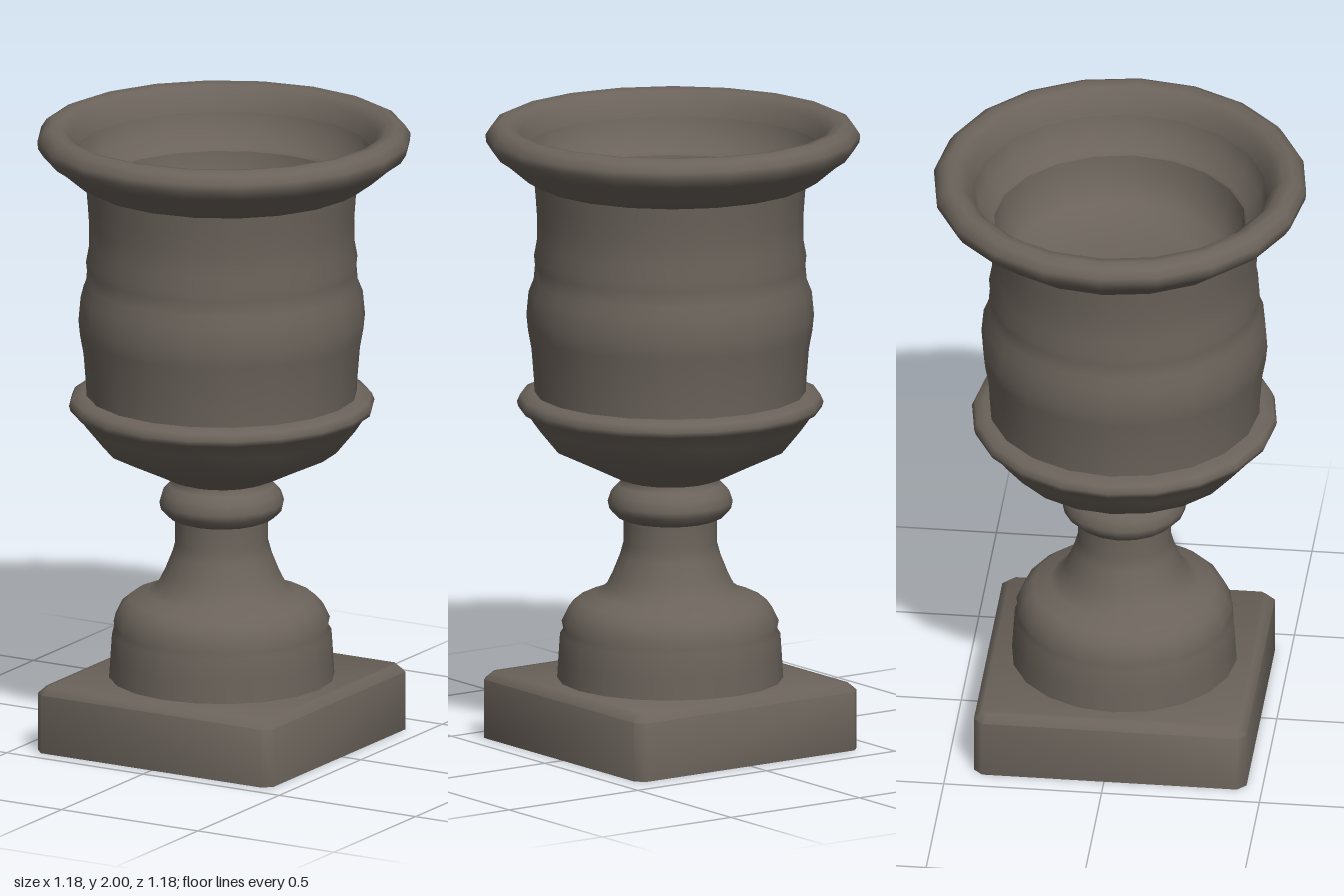
import * as THREE from 'three';
import { toCreasedNormals } from 'three/addons/utils/BufferGeometryUtils.js';
import { ConvexGeometry } from 'three/addons/geometries/ConvexGeometry.js';

const SEGMENTS = 20;
const BODY_Z = 0.017; // foot and body sit slightly forward of the rim

export function createModel() {
  const urn = new THREE.Group();
  urn.name = 'gardenUrn';
  const stone = new THREE.MeshStandardMaterial({ color: 0x6b635b });
  stone.name = 'weathered stone';

  function add(name, geometry, z) {
    const mesh = new THREE.Mesh(geometry, stone);
    mesh.name = name;
    mesh.position.z = z;
    urn.add(mesh);
  }

  // Turned part from [radius, height] pairs
  function turned(name, profile, z = BODY_Z) {
    const points = profile.map(([r, y]) => new THREE.Vector2(r, y));
    add(name, new THREE.LatheGeometry(points, SEGMENTS), z);
  }

  // Square plinth with chamfered corners and a bevelled top edge
  const corners = [];
  const half = 0.432, chamfer = 0.028;
  for (const [inset, y] of [[0, 0], [0, 0.188], [0.024, 0.212]]) {
    const a = half - inset, b = half - chamfer - inset * 0.6;
    for (const sx of [-1, 1]) for (const sz of [-1, 1]) {
      corners.push(new THREE.Vector3(sx * a, y, sz * b), new THREE.Vector3(sx * b, y, sz * a));
    }
  }
  add('plinth', toCreasedNormals(new ConvexGeometry(corners), 0.95), BODY_Z);

  // Domed foot narrowing into the stem
  turned('foot', [[0.357, 0.2], [0.352, 0.28], [0.347, 0.355], [0.337, 0.37], [0.342, 0.395],
    [0.32, 0.44], [0.29, 0.465], [0.235, 0.485], [0.205, 0.505], [0.182, 0.55],
    [0.158, 0.61], [0.147, 0.65], [0.147, 0.73]]);

  // Rounded collar on the stem
  turned('collar', [[0.14, 0.722], [0.168, 0.733], [0.192, 0.757], [0.197, 0.78],
    [0.187, 0.812], [0.165, 0.835], [0.15, 0.845], [0.15, 0.87]]);

  // Flared bowl ending in a rounded band
  turned('bowl', [[0.14, 0.85], [0.18, 0.865], [0.255, 0.902], [0.37, 0.957], [0.43, 1.03],
    [0.458, 1.072], [0.478, 1.083], [0.483, 1.1], [0.474, 1.122], [0.445, 1.132], [0.41, 1.133]]);

  // Main drum with a swelling round its middle
  turned('drum', [[0.427, 1.12], [0.429, 1.17], [0.437, 1.27], [0.448, 1.33], [0.453, 1.38],
    [0.446, 1.455], [0.43, 1.495], [0.426, 1.54], [0.429, 1.57], [0.42, 1.62],
    [0.419, 1.69], [0.424, 1.76], [0.43, 1.83]]);

  // Rolled rim, outside face to inner lip
  turned('rim', [[0.41, 1.81], [0.44, 1.815], [0.475, 1.835], [0.54, 1.89], [0.57, 1.91],
    [0.588, 1.938], [0.59, 1.962], [0.573, 1.988], [0.548, 2], [0.515, 1.995],
    [0.485, 1.97], [0.465, 1.92]], 0.003);

  // Hollow inside with a softly dished floor
  turned('inside', [[0.465, 1.92], [0.448, 1.86], [0.405, 1.82], [0.398, 1.81]], 0.003);
  turned('insideFloor', [[0.398, 1.81], [0.385, 1.73], [0.345, 1.67], [0.28, 1.635],
    [0.16, 1.615], [0, 1.61]], 0.003);

  return urn;
}
